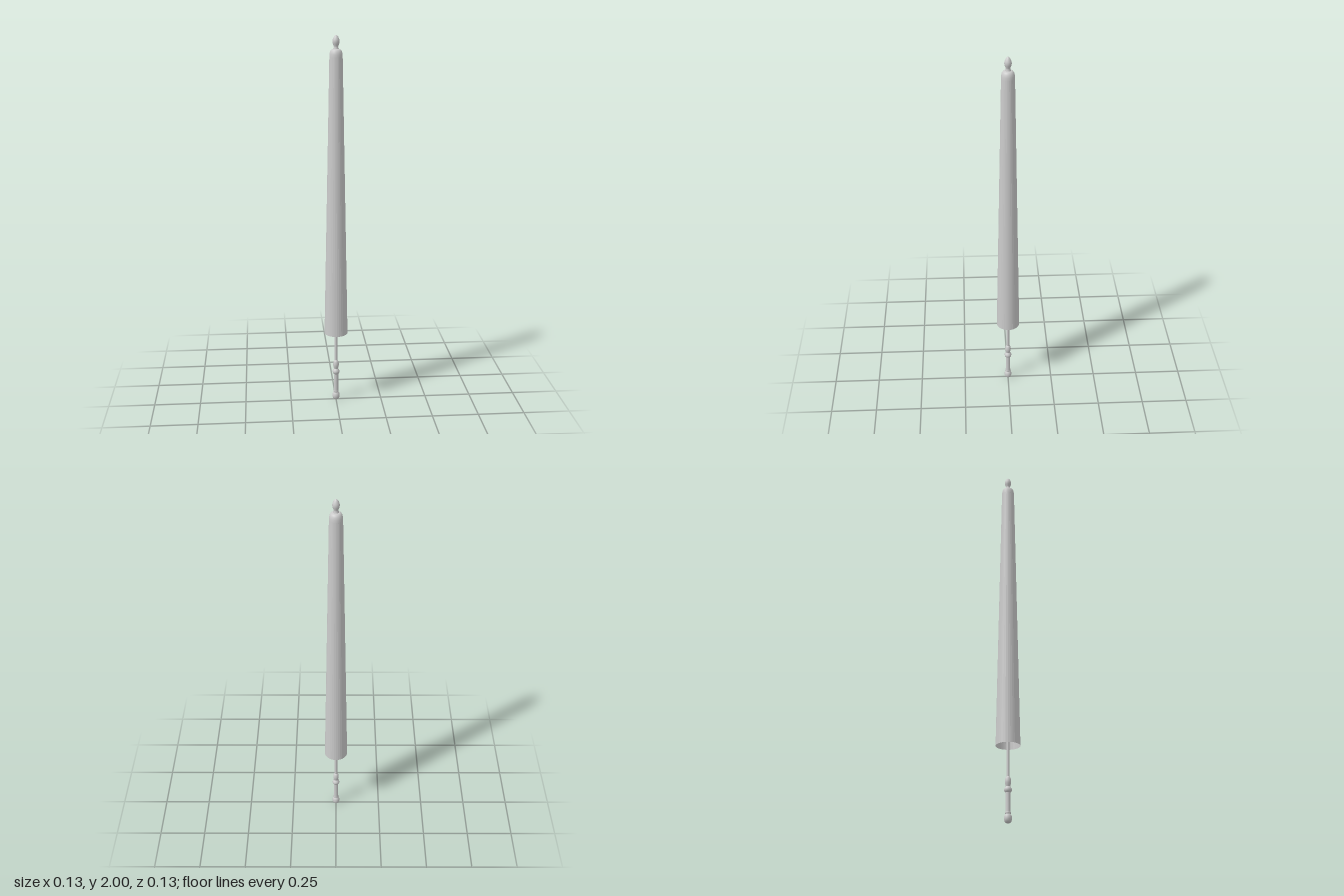
import * as THREE from 'three';

const material = (options = {}) => new THREE.MeshStandardMaterial({ color: 0xcccccc, ...options });

// Turned part from [radius, height] pairs, listed bottom to top
function turned(name, profile, segments, mat) {
  const points = profile.map(([r, y]) => new THREE.Vector2(r, y));
  const mesh = new THREE.Mesh(new THREE.LatheGeometry(points, segments), mat);
  mesh.name = name;
  return mesh;
}

export function createModel() {
  const group = new THREE.Group();
  group.name = 'closedParasol';
  const smooth = material();

  // Furled canopy, open underneath
  group.add(turned('canopy', [[0.063, 0.395], [0.034, 1.89]], 32,
    material({ flatShading: true, side: THREE.DoubleSide })));

  // Rounded cap closing the canopy
  group.add(turned('canopyCap', [
    [0.034, 1.89], [0.0335, 1.903], [0.031, 1.915], [0.026, 1.924], [0.019, 1.929], [0, 1.93],
  ], 32, material({ side: THREE.DoubleSide })));

  // Pointed finial
  group.add(turned('finial', [
    [0.014, 1.926], [0.014, 1.932], [0.011, 1.938], [0.012, 1.945], [0.016, 1.955],
    [0.0185, 1.966], [0.017, 1.977], [0.012, 1.989], [0.006, 1.997], [0, 2],
  ], 24, smooth));

  // Thin shaft running up inside the canopy
  const shaft = new THREE.Mesh(new THREE.CylinderGeometry(0.0075, 0.0075, 1.71, 16), smooth);
  shaft.name = 'shaft';
  shaft.position.y = 0.215 + 1.71 / 2;
  group.add(shaft);

  // Handle: end knob, slim grip, collar and upper bulb
  group.add(turned('endKnob', [
    [0, 0], [0.01, 0.001], [0.016, 0.006], [0.0195, 0.016], [0.02, 0.026],
    [0.018, 0.036], [0.014, 0.042], [0.012, 0.045],
  ], 24, smooth));
  group.add(turned('grip', [
    [0.012, 0.043], [0.015, 0.047], [0.015, 0.052], [0.0125, 0.057], [0.0125, 0.153],
  ], 24, smooth));
  group.add(turned('collar', [
    [0.0125, 0.153], [0.017, 0.157], [0.0195, 0.165], [0.0185, 0.173], [0.014, 0.179], [0.011, 0.184],
  ], 24, smooth));
  group.add(turned('upperBulb', [
    [0.011, 0.184], [0.013, 0.192], [0.0155, 0.202], [0.016, 0.212], [0.014, 0.224],
    [0.011, 0.231], [0.007, 0.235],
  ], 24, smooth));

  return group;
}
